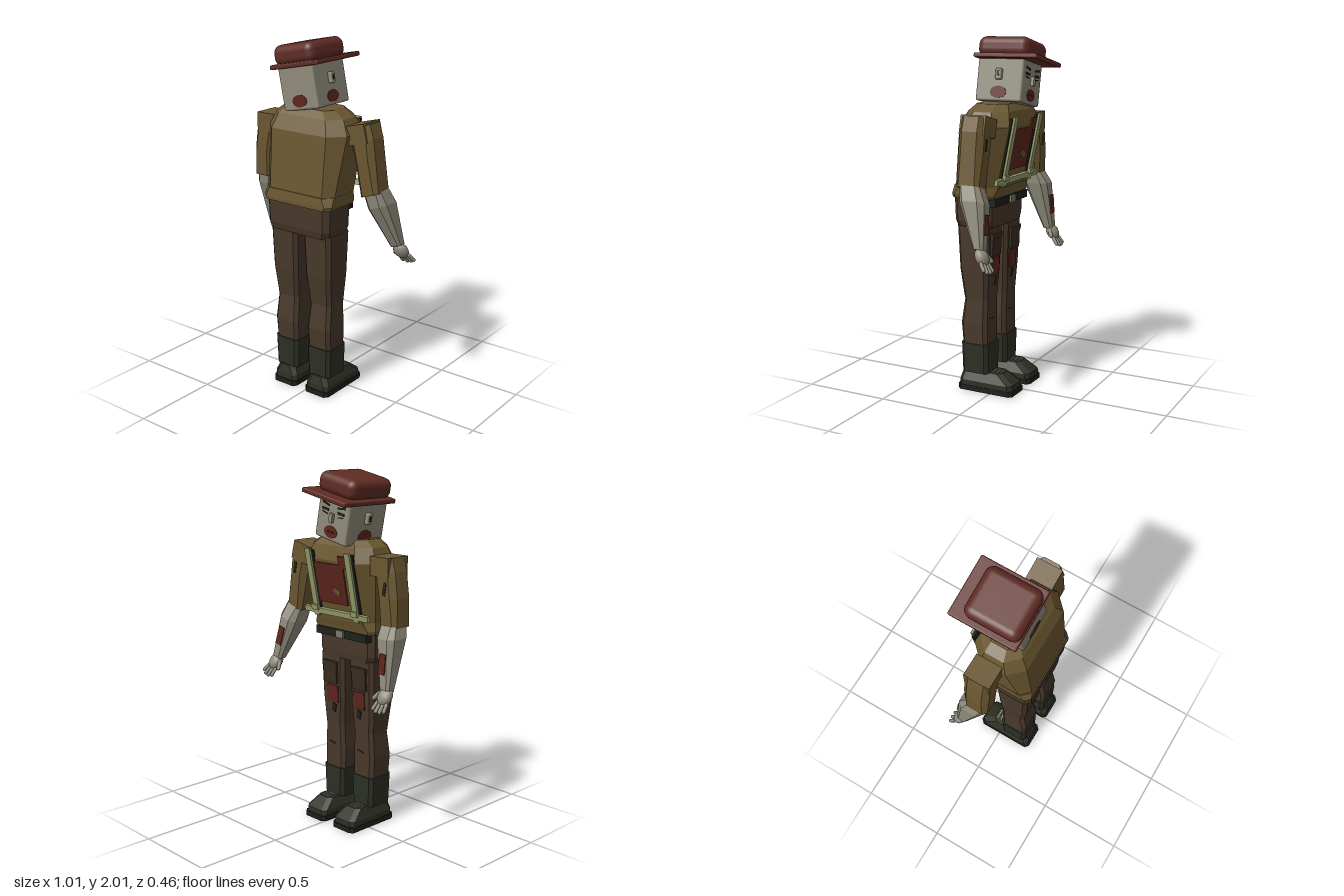
import * as THREE from 'three';
import { RoundedBoxGeometry } from 'three/addons/geometries/RoundedBoxGeometry.js';

const mat = (name, color) => Object.assign(new THREE.MeshStandardMaterial({ color }), { name });

// Faceted solid through chamfered rectangles, bottom to top: [x, y, z, width, depth, chamfer].
// tilt raises each section towards +x.
function loft(sections, tilt = 0) {
  const rings = sections.map(([x, y, z, w, d, c = 0.02]) => {
    const a = w / 2, b = d / 2;
    return [[a, b - c], [a, c - b], [a - c, -b], [c - a, -b], [-a, c - b], [-a, b - c], [c - a, b], [a - c, b]]
      .map(([px, pz]) => [x + px, y + px * tilt, z + pz]);
  });
  const pos = [];
  const tri = (...p) => p.forEach(v => pos.push(...v));
  for (let k = 0; k < rings.length - 1; k++) {
    for (let i = 0; i < 8; i++) {
      const j = (i + 1) % 8, lo = rings[k], hi = rings[k + 1];
      tri(lo[i], lo[j], hi[j]);
      tri(lo[i], hi[j], hi[i]);
    }
  }
  const top = rings[rings.length - 1], low = rings[0];
  for (let i = 1; i < 7; i++) {
    tri(top[0], top[i], top[i + 1]);
    tri(low[0], low[i + 1], low[i]);
  }
  const g = new THREE.BufferGeometry();
  g.setAttribute('position', new THREE.Float32BufferAttribute(pos, 3));
  g.computeVertexNormals();
  return g;
}

export function createModel() {
  const skin = mat('paleSkin', 0x8f8b7b), shirt = mat('mustardCloth', 0x6b5731);
  const trouser = mat('brownCloth', 0x48382b), boot = mat('bootGreen', 0x2c3024);
  const hat = mat('hatRed', 0x602c24), strap = mat('strapYellow', 0x989f6c);
  const blood = mat('driedRed', 0x5e261d), dark = mat('darkTrim', 0x1e211a);
  const metal = mat('buckleGrey', 0x7a7a6c), pocketMat = mat('pocketBrown', 0x3a2d22);

  const model = new THREE.Group();
  model.name = 'worker';
  const add = (parent, name, geo, material, p = [0, 0, 0], r = [0, 0, 0]) => {
    const m = new THREE.Mesh(geo, material);
    m.name = name;
    m.position.set(...p);
    m.rotation.set(...r);
    parent.add(m);
    return m;
  };
  const box = (w, h, d) => new THREE.BoxGeometry(w, h, d);
  const group = (name, p, r = [0, 0, 0]) => {
    const g = new THREE.Group();
    g.name = name;
    g.position.set(...p);
    g.rotation.set(...r);
    model.add(g);
    return g;
  };

  // Shirt body, hem, hips and belt
  add(model, 'shirtBody', loft([
    [-0.043, 1.19, 0.085, 0.46, 0.27, 0.05], [-0.043, 1.53, 0.035, 0.535, 0.31, 0.08],
    [-0.05, 1.61, 0.027, 0.46, 0.25, 0.07], [-0.055, 1.65, 0.025, 0.34, 0.19, 0.05]]), shirt);
  add(model, 'shirtHem', loft([
    [-0.043, 1.13, 0.1, 0.455, 0.26, 0.03], [-0.043, 1.15, 0.098, 0.47, 0.265, 0.03],
    [-0.043, 1.2, 0.088, 0.465, 0.275, 0.05]]), shirt);
  add(model, 'hips', loft([
    [-0.04, 0.96, 0.103, 0.395, 0.215, 0.03], [-0.042, 1.0, 0.105, 0.425, 0.23, 0.03],
    [-0.042, 1.145, 0.105, 0.435, 0.235, 0.03]]), trouser);
  add(model, 'belt', box(0.4, 0.045, 0.05), dark, [-0.043, 1.11, -0.015]);
  add(model, 'buckle', box(0.055, 0.04, 0.015), metal, [-0.043, 1.11, -0.045]);

  // Harness and stains on the chest
  const chest = group('chestHarness', [-0.043, 1.4, -0.098], [-0.2, 0, 0]);
  for (const s of [-1, 1]) {
    add(chest, 'strapBacking', box(0.065, 0.36, 0.012), dark, [s * 0.155, 0, 0.004]);
    add(chest, 'verticalStrap', box(0.04, 0.39, 0.014), strap, [s * 0.155, -0.005, -0.008]);
    add(chest, 'strapClip', box(0.05, 0.03, 0.012), strap, [s * 0.155, -0.15, -0.02]);
  }
  add(chest, 'crossStrap', box(0.5, 0.032, 0.02), strap, [0, -0.17, -0.006]);
  add(chest, 'chestStain', box(0.22, 0.23, 0.008), blood, [0.01, 0, 0]);
  add(chest, 'shoulderStain', box(0.06, 0.07, 0.008), blood, [-0.1, 0.13, 0]);
  add(chest, 'shirtScrap', box(0.05, 0.03, 0.006), shirt, [-0.03, -0.04, -0.004], [0, 0, 0.5]);

  // Tilted head with face, ears and hat
  const head = group('head', [-0.087, 1.77, 0], [0, 0, 0.2]);
  add(head, 'skull', new RoundedBoxGeometry(0.24, 0.265, 0.28, 2, 0.012), skin);
  add(head, 'nose', box(0.025, 0.05, 0.025), skin, [0, -0.005, -0.145]);
  const spot = new THREE.CylinderGeometry(0.05, 0.05, 0.006, 14);
  for (let i = 0; i < 4; i++) {
    const a = i * Math.PI / 2, r = i % 2 ? 0.12 : 0.14;
    const stain = add(head, 'mouthStain', spot, blood, [Math.sin(a) * r, -0.083, Math.cos(a) * r]);
    stain.rotation.set(Math.PI / 2, 0, -a, 'XYZ');
    stain.rotation.set(Math.PI / 2, a, 0, 'YXZ');
    stain.scale.set(1, 1, 0.68);
  }
  for (const s of [-1, 1]) {
    add(head, 'ear', new RoundedBoxGeometry(0.03, 0.062, 0.036, 2, 0.008), skin, [s * 0.128, 0.015, 0]);
    add(head, 'earHollow', box(0.004, 0.03, 0.014), dark, [s * 0.143, 0.018, 0]);
    add(head, 'eye', box(0.05, 0.012, 0.006), dark, [s * 0.06, 0.03, -0.141]);
    add(head, 'eyeBag', box(0.04, 0.005, 0.006), dark, [s * 0.06, 0.01, -0.141], [0, 0, s * 0.15]);
    add(head, 'brow', box(0.055, 0.01, 0.008), dark, [s * 0.06, 0.06, -0.141], [0, 0, s * 0.2]);
  }
  add(head, 'mouthLine', box(0.05, 0.01, 0.008), dark, [0, -0.083, -0.141]);
  add(head, 'hatBrim', new RoundedBoxGeometry(0.335, 0.026, 0.385, 2, 0.008), hat, [0, 0.112, -0.042]);
  add(head, 'hatCrown', new RoundedBoxGeometry(0.28, 0.115, 0.31, 4, 0.045), hat, [0, 0.168, -0.005]);

  // Arms: the two hang at different angles
  const arms = [
    { side: 'right', s: -1, tilt: 0,
      sleeve: [[-0.41, 1.205, 0.01, 0.118, 0.135], [-0.4, 1.36, 0.01, 0.135, 0.15, 0.03],
        [-0.378, 1.5, 0.01, 0.14, 0.15, 0.03], [-0.37, 1.575, 0.01, 0.115, 0.13]],
      fore: [[-0.45, 0.87, -0.09, 0.065, 0.06, 0.012], [-0.42, 1.15, -0.025, 0.128, 0.15, 0.03],
        [-0.41, 1.215, 0, 0.11, 0.12]],
      cap: [-0.36, 1.523, 0.01], capRot: 0, hand: [-0.455, 0.86, -0.1], handRot: 0.03, stain: [-0.434, 1.02, -0.112] },
    { side: 'left', s: 1, tilt: 0.33,
      sleeve: [[0.34, 1.215, 0.01, 0.113, 0.135], [0.307, 1.4, 0.01, 0.128, 0.15, 0.03],
        [0.288, 1.5, 0.01, 0.138, 0.15, 0.03], [0.275, 1.585, 0.01, 0.112, 0.13]],
      fore: [[0.428, 0.91, -0.09, 0.065, 0.06, 0.012], [0.365, 1.145, -0.025, 0.122, 0.15, 0.03],
        [0.343, 1.225, 0, 0.106, 0.12]],
      cap: [0.26, 1.54, 0.01], capRot: 0.25, hand: [0.435, 0.89, -0.1], handRot: 0.25, stain: [0.395, 1.04, -0.11] }];
  for (const a of arms) {
    add(model, a.side + 'Sleeve', loft(a.sleeve, a.tilt), shirt);
    add(model, a.side + 'ShoulderCap', box(0.13, 0.105, 0.152), shirt, a.cap, [0, 0, a.capRot]);
    add(model, a.side + 'Forearm', loft(a.fore, a.tilt), skin);
    add(model, a.side + 'ForearmStain', box(0.045, 0.11, 0.008), blood, a.stain, [0.08, 0, a.handRot]);
    const [ex, ey] = a.sleeve[1];
    add(model, a.side + 'SleeveTear', box(0.022, 0.07, 0.006), dark, [ex, ey + 0.05, -0.064], [0, 0, 0.2]);

    // Hand with rounded palm, four fingers and a thumb
    const hand = group(a.side + 'Hand', a.hand, [0.55, 0, a.handRot]);
    add(hand, 'palm', new THREE.SphereGeometry(0.045, 14, 10), skin, [0, -0.015, 0]).scale.set(1, 1.15, 0.75);
    for (let i = 0; i < 4; i++) {
      const u = i - 1.5, len = 0.055 - Math.abs(u) * 0.008;
      add(hand, 'finger', new THREE.CapsuleGeometry(0.0105, len, 3, 8), skin,
        [u * 0.025, -0.085 + Math.abs(u) * 0.006, -0.004], [0.1, 0, u * 0.1]);
    }
    add(hand, 'thumb', new THREE.CapsuleGeometry(0.012, 0.045, 3, 8), skin,
      [-a.s * 0.05, -0.022, -0.008], [0, 0, -a.s * 0.55]);
  }

  // Legs and boots
  for (const s of [-1, 1]) {
    const leg = group(s < 0 ? 'rightLeg' : 'leftLeg', [-0.038 + s * 0.116, 0, 0]);
    add(leg, 'thigh', loft([[0, 0.55, 0.095, 0.15, 0.15], [0, 0.72, 0.1, 0.175, 0.18],
      [0, 0.97, 0.1, 0.186, 0.2]]), trouser);
    add(leg, 'calf', loft([[0, 0.26, 0.1, 0.155, 0.155], [0, 0.4, 0.105, 0.162, 0.165],
      [0, 0.56, 0.093, 0.146, 0.145]]), trouser);
    add(leg, 'pocket', box(0.105, 0.12, 0.022), pocketMat, [0, 0.86, 0.002], [-0.04, 0, 0]);
    add(leg, 'pocketFlap', box(0.112, 0.03, 0.026), pocketMat, [0, 0.915, -0.002], [-0.04, 0, 0]);
    add(leg, 'thighStain', box(0.085, 0.1, 0.008), blood, [s * -0.01, 0.735, 0.008], [-0.05, 0, 0]);
    add(leg, 'thighTear', box(0.03, 0.05, 0.008), dark, [s * -0.015, 0.65, 0.013], [-0.08, 0, 0.3]);
    add(leg, 'shinTear', box(0.05, 0.008, 0.006), dark, [0.01, 0.43, 0.022], [0, 0, 0.2]);
    add(leg, 'bootShaft', loft([[0, 0.11, 0.1, 0.155, 0.165], [0, 0.285, 0.1, 0.167, 0.172]]), boot);
    add(leg, 'bootFoot', loft([[0, 0.025, 0.035, 0.16, 0.335, 0.02], [0, 0.06, 0.035, 0.158, 0.335, 0.025],
      [0, 0.115, 0.066, 0.108, 0.25, 0.025]]), boot);
    add(leg, 'bootSole', loft([[0, 0, 0.035, 0.166, 0.35], [0, 0.03, 0.035, 0.166, 0.35]]), dark);
    for (let i = 0; i < 3; i++) {
      add(leg, 'bootLace', box(0.06, 0.006, 0.01), metal, [0, 0.117, 0.005 - i * 0.024]);
    }
  }
  return model;
}
